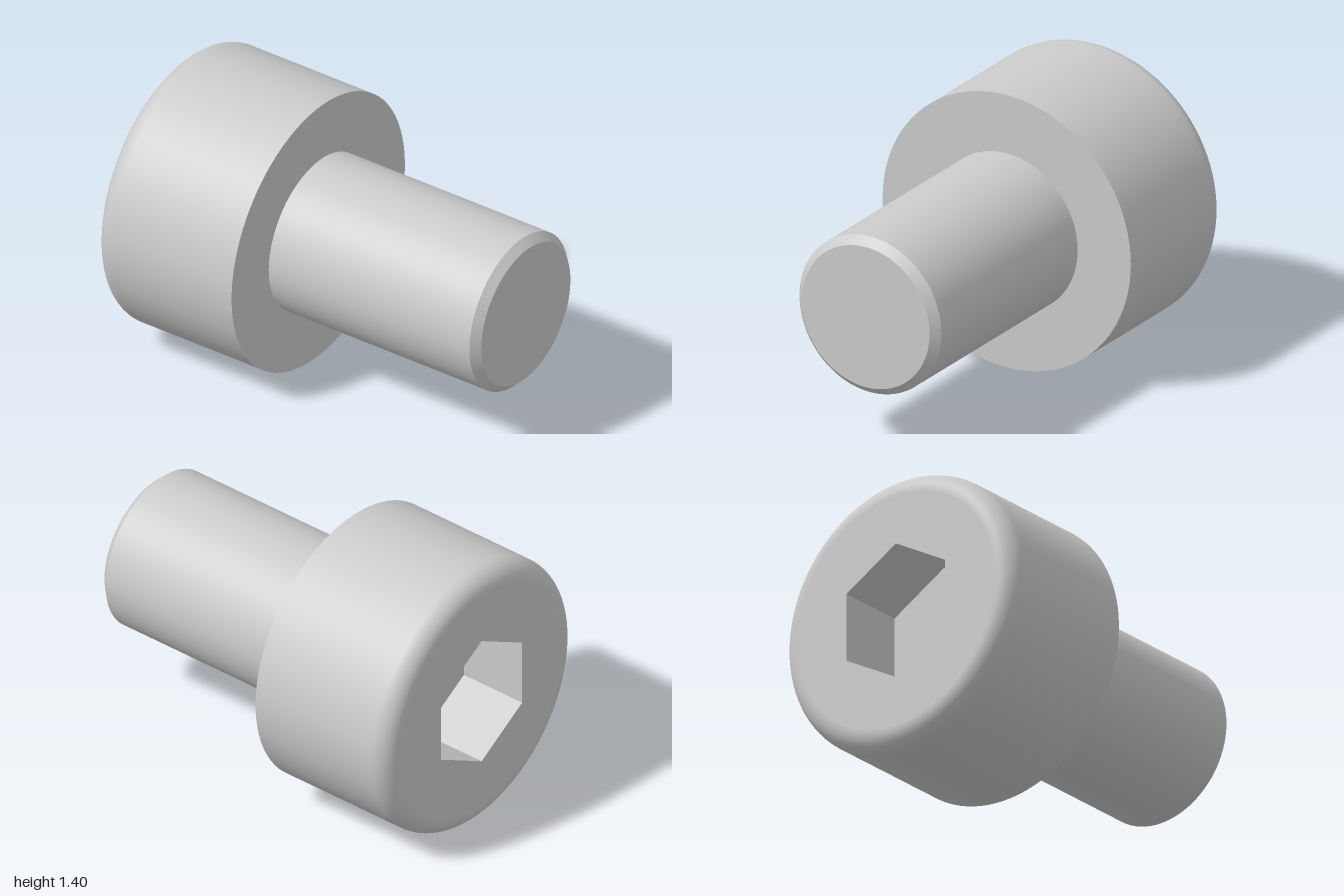
import * as THREE from 'three';

const SEGMENTS = 96;
const HEX_RADIUS = 0.3 / Math.cos(Math.PI / 6); // 0.6 across the flats
const SOCKET_DEPTH = 0.355;
const material = new THREE.MeshStandardMaterial({ color: 0xcccccc });

function addMesh(parent, name, geometry) {
  const mesh = new THREE.Mesh(geometry, material);
  mesh.name = name;
  parent.add(mesh);
}

// Surface of revolution about the x axis; points are [radius, x]
function turned(points) {
  const profile = points.map(([r, x]) => new THREE.Vector2(r, x));
  return new THREE.LatheGeometry(profile, SEGMENTS).rotateZ(-Math.PI / 2);
}

// Hexagon with corners at top and bottom
function hexPoints() {
  return Array.from({ length: 6 }, (_, i) => {
    const a = Math.PI / 2 + (i * Math.PI) / 3;
    return new THREE.Vector2(HEX_RADIUS * Math.cos(a), HEX_RADIUS * Math.sin(a));
  });
}

// Flat shape turned to face -x
function endFace(shape, x) {
  return new THREE.ShapeGeometry(shape, SEGMENTS).rotateY(-Math.PI / 2).translate(x, 0, 0);
}

export function createModel() {
  const model = new THREE.Group();
  model.name = 'socketHeadScrew';
  const screw = new THREE.Group();
  screw.position.y = 0.7;
  model.add(screw);

  // Head: rounded outer rim running into the cylindrical wall, then the flat underside
  const head = new THREE.Group();
  head.name = 'head';
  const wall = [];
  for (let i = 0; i <= 12; i++) {
    const a = (i / 12) * Math.PI / 2;
    wall.push([0.6 + 0.1 * Math.sin(a), -0.9 - 0.1 * Math.cos(a)]);
  }
  wall.push([0.7, -0.89], [0.7, -0.2]);
  addMesh(head, 'headWall', turned(wall));
  addMesh(head, 'headUnderside', turned([[0.7, -0.2], [0.4, -0.2]]));

  // Head face with the hexagonal opening
  const face = new THREE.Shape().absarc(0, 0, 0.6, 0, Math.PI * 2);
  face.holes.push(new THREE.Path(hexPoints().reverse()));
  addMesh(head, 'headFace', endFace(face, -1));

  // Hexagonal socket: inward-facing walls and flat floor
  const tube = new THREE.CylinderGeometry(
    HEX_RADIUS, HEX_RADIUS, SOCKET_DEPTH, 6, 1, true, Math.PI / 2);
  tube.index.array.reverse();
  const walls = tube.toNonIndexed();
  walls.computeVertexNormals();
  walls.rotateZ(-Math.PI / 2).translate(-1 + SOCKET_DEPTH / 2, 0, 0);
  addMesh(head, 'socketWalls', walls);
  addMesh(head, 'socketFloor', endFace(new THREE.Shape(hexPoints()), -1 + SOCKET_DEPTH));
  screw.add(head);

  // Shank with a chamfered tip
  const shank = new THREE.Group();
  shank.name = 'shank';
  addMesh(shank, 'shankWall', turned([[0.4, -0.2], [0.4, 0.96]]));
  addMesh(shank, 'tipChamfer', turned([[0.4, 0.96], [0.36, 1]]));
  addMesh(shank, 'tipFace', turned([[0.36, 1], [0, 1]]));
  screw.add(shank);

  return model;
}
